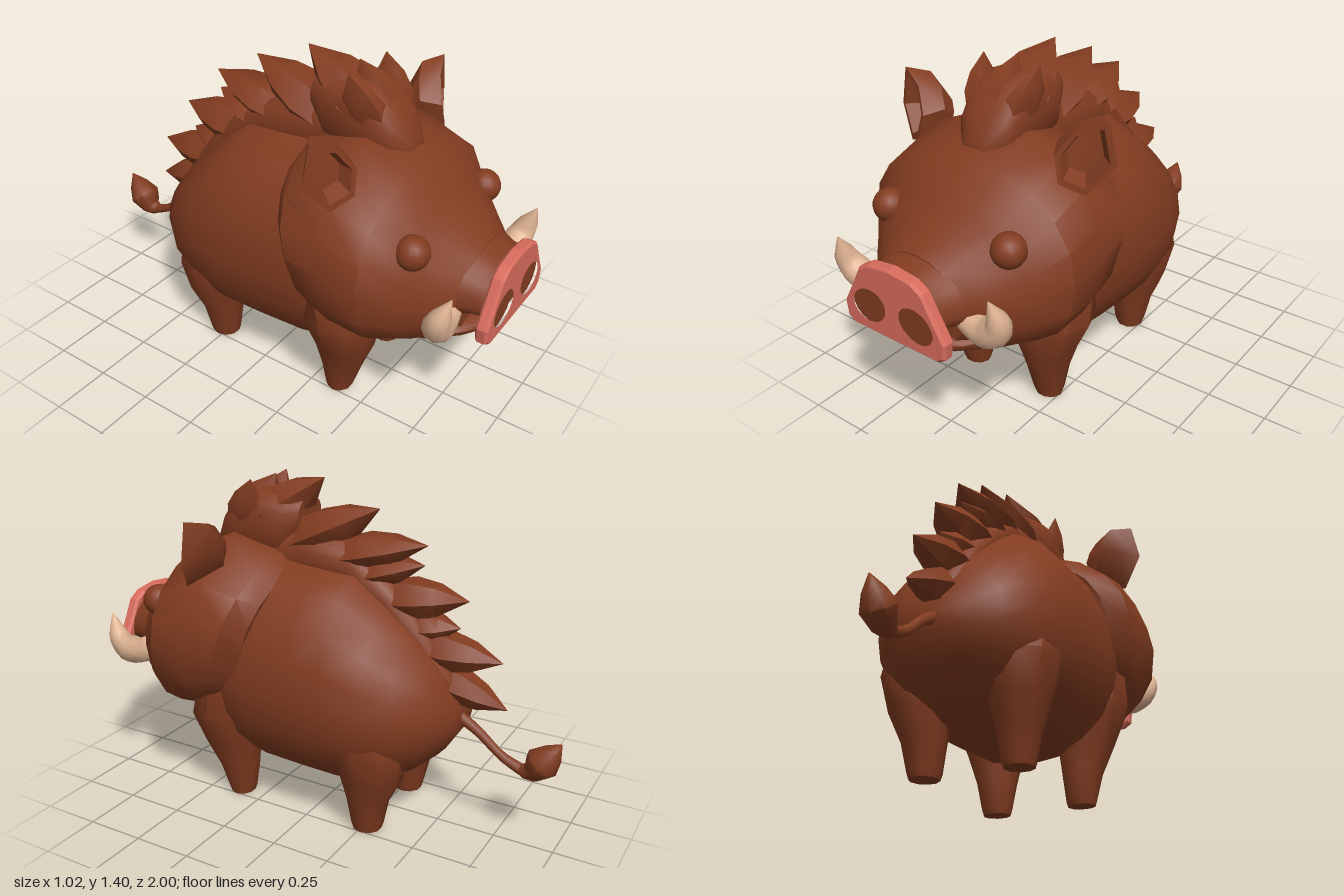
import * as THREE from 'three';
import { toCreasedNormals } from 'three/addons/utils/BufferGeometryUtils.js';

const V = (x, y, z) => new THREE.Vector3(x, y, z);

// Skin a list of point rings, close both ends, and face the surface outwards.
function loft(rings, crease = 0.75) {
  const n = rings[0].length, pos = [], index = [];
  rings.flat().forEach((p) => pos.push(p.x, p.y, p.z));
  for (let r = 0; r < rings.length - 1; r++) {
    for (let i = 0; i < n; i++) {
      const a = r * n + i, b = r * n + (i + 1) % n;
      index.push(a, b, b + n, a, b + n, a + n);
    }
  }
  [0, rings.length - 1].forEach((r, end) => {
    const c = rings[r].reduce((s, p) => s.add(p), V(0, 0, 0)).divideScalar(n);
    const centre = pos.length / 3;
    pos.push(c.x, c.y, c.z);
    for (let i = 0; i < n; i++) {
      const a = r * n + i, b = r * n + (i + 1) % n;
      if (end) index.push(a, b, centre); else index.push(b, a, centre);
    }
  });
  let volume = 0;
  const at = (i) => V(pos[3 * i], pos[3 * i + 1], pos[3 * i + 2]);
  for (let i = 0; i < index.length; i += 3) {
    volume += at(index[i]).dot(at(index[i + 1]).cross(at(index[i + 2])));
  }
  if (volume < 0) index.reverse();
  const g = new THREE.BufferGeometry();
  g.setAttribute('position', new THREE.Float32BufferAttribute(pos, 3));
  g.setIndex(index);
  return toCreasedNormals(g, crease);
}

// Egg-shaped section across z: height of top, bottom and widest point, backward lean,
// and roundness of the lower and upper halves (smaller is squarer).
function section([z, top, bottom, w, mid, lean = 0, low = 0.95, high = 0.95], n = 20) {
  return Array.from({ length: n }, (_, i) => {
    const a = i / n * Math.PI * 2, s = Math.sin(a), c = Math.cos(a), p = s > 0 ? high : low;
    const y = mid + (s > 0 ? top - mid : mid - bottom) * Math.sign(s) * Math.abs(s) ** p;
    return V(w * Math.sign(c) * Math.abs(c) ** p, y, z + lean * (mid - y));
  });
}
const sections = (rows) => loft(rows.map((r) => section(r)));

// Tapered round limb along a smooth path.
function taper(points, radii, steps = 10, n = 10) {
  const curve = new THREE.CatmullRomCurve3(points.map((p) => V(...p)));
  const f = curve.computeFrenetFrames(steps);
  const rings = [];
  for (let s = 0; s <= steps; s++) {
    const u = s / steps, k = u * (radii.length - 1), j = Math.min(Math.floor(k), radii.length - 2);
    const r = THREE.MathUtils.lerp(radii[j], radii[j + 1], k - j), c = curve.getPointAt(u);
    rings.push(Array.from({ length: n }, (_, i) => {
      const a = i / n * Math.PI * 2;
      return c.clone().addScaledVector(f.normals[s], r * Math.cos(a))
        .addScaledVector(f.binormals[s], r * Math.sin(a));
    }));
  }
  return loft(rings, 1);
}

// Pointed bristle tuft with a six-sided section.
function spike(base, tip, w, t) {
  const a = V(...base), b = V(...tip), dir = b.clone().sub(a).normalize();
  const side = V(1, 0, 0).addScaledVector(dir, -dir.x).normalize();
  const up = dir.clone().cross(side);
  return loft([[0, 0.8], [0.4, 1], [0.68, 0.72], [1, 0.01]].map(([u, s]) =>
    Array.from({ length: 6 }, (_, i) => {
      const q = i / 6 * Math.PI * 2;
      return a.clone().lerp(b, u).addScaledVector(side, w * s * Math.cos(q))
        .addScaledVector(up, t * s * Math.sin(q));
    })), 0.9);
}

export function createModel() {
  const group = new THREE.Group();
  const material = (name, color) => {
    const m = new THREE.MeshStandardMaterial({ color });
    m.name = name;
    return m;
  };
  const brown = material('brown hide', 0x823c20);
  const pink = material('pink snout', 0xd86c5d);
  const ivory = material('ivory tusk', 0xe0b493);
  const add = (name, geometry, mat = brown) => {
    const m = new THREE.Mesh(geometry, mat);
    m.name = name;
    group.add(m);
    return m;
  };

  // Trunk, head, muzzle and lower jaw
  add('body', sections([
    [0.55, 0.85, 0.38, 0.2, 0.6], [0.5, 1, 0.3, 0.3, 0.6], [0.38, 1.1, 0.22, 0.39, 0.6],
    [0.2, 1.1, 0.165, 0.41, 0.6], [0, 1.08, 0.16, 0.415, 0.58], [-0.15, 1.07, 0.155, 0.41, 0.57],
    [-0.3, 0.95, 0.19, 0.385, 0.55], [-0.42, 0.84, 0.25, 0.335, 0.54],
    [-0.52, 0.72, 0.34, 0.25, 0.53], [-0.59, 0.58, 0.45, 0.1, 0.51],
  ]));
  add('head', sections([
    [0.21, 1.06, 0.44, 0.4, 0.75, 0.3, 0.8], [0.28, 1.11, 0.43, 0.48, 0.77, 0.3, 0.8],
    [0.42, 1.18, 0.395, 0.49, 0.76, 0.05, 0.78], [0.59, 1.095, 0.38, 0.487, 0.74, 0, 0.8],
    [0.7, 0.965, 0.39, 0.38, 0.67, 0, 0.85], [0.8, 0.875, 0.43, 0.285, 0.64],
    [0.87, 0.825, 0.47, 0.21, 0.63],
  ]));
  add('muzzle', sections([
    [0.78, 0.86, 0.54, 0.26, 0.65], [0.9, 0.805, 0.57, 0.2, 0.65], [0.97, 0.79, 0.57, 0.19, 0.65],
  ]));
  add('lowerJaw', sections([
    [0.75, 0.56, 0.41, 0.28, 0.52], [0.87, 0.55, 0.46, 0.2, 0.52],
    [0.93, 0.55, 0.485, 0.12, 0.52], [0.955, 0.54, 0.51, 0.05, 0.52],
  ]));

  // Snout disc with nostril holes
  const half = [[0.1, 0.802], [0.145, 0.775], [0.19, 0.69], [0.235, 0.61], [0.228, 0.555], [0.2, 0.537]];
  const disc = new THREE.Shape([
    ...half.map(([x, y]) => new THREE.Vector2(x, y)),
    ...half.slice().reverse().map(([x, y]) => new THREE.Vector2(-x, y)),
    new THREE.Vector2(0, 0.815),
  ]);
  for (const s of [-1, 1]) {
    disc.holes.push(new THREE.Path().absellipse(s * 0.112, 0.64, 0.081, 0.066, 0, Math.PI * 2, true, -s * 0.3));
  }
  const discGeometry = new THREE.ExtrudeGeometry(disc, {
    depth: 0.03, bevelThickness: 0.01, bevelSize: 0.01, bevelSegments: 1, curveSegments: 10,
  });
  add('snoutDisc', discGeometry.translate(0, 0, 0.96), pink);

  for (const s of [-1, 1]) {
    const side = s > 0 ? 'left' : 'right';
    // Face details
    add(side + 'Nostril', new THREE.CircleGeometry(1, 20).scale(0.1, 0.084, 1)
      .rotateZ(-s * 0.3).translate(s * 0.112, 0.64, 0.985));
    add(side + 'Eye', new THREE.SphereGeometry(0.067, 16, 12)).position.set(s * 0.287, 0.862, 0.702);
    add(side + 'Tusk', taper([
      [s * 0.18, 0.61, 0.82], [s * 0.29, 0.602, 0.84], [s * 0.365, 0.665, 0.86], [s * 0.362, 0.79, 0.905],
    ], [0.05, 0.056, 0.058, 0.04, 0.002], 12), ivory);

    // Cupped ear opening forwards and outwards: rounded back, rim, inner lip, hollow
    const rim = [[0.31, 1.14, 0.475], [0.37, 1.235, 0.43], [0.48, 1.277, 0.385],
      [0.512, 1.12, 0.382], [0.42, 1.0, 0.435], [0.335, 1.04, 0.485]].map((p) => V(s * p[0], p[1], p[2]));
    const ring = (k, x, y, z) => rim.map((p) => p.clone().lerp(V(s * 0.405, 1.135, 0.432), k).add(V(s * x, y, z)));
    add(side + 'Ear', loft([ring(0.6, -0.1, -0.01, -0.1), ring(0.22, -0.065, 0.015, -0.065), rim,
      ring(0.2, 0, 0, 0), ring(0.4, -0.035, 0, -0.055)], 0.8));

    // Legs: height, centre x, centre z, half width, half depth
    const leg = (rows) => loft(rows.map(([y, x, z, w, d]) => Array.from({ length: 10 }, (_, i) => {
      const a = i / 10 * Math.PI * 2;
      return V(s * x + w * Math.cos(a), y, z + d * Math.sin(a));
    })));
    add(side + 'FrontLeg', leg([[0, 0.195, 0.362, 0.06, 0.052], [0.025, 0.195, 0.362, 0.068, 0.06],
      [0.14, 0.2, 0.372, 0.088, 0.09], [0.27, 0.215, 0.39, 0.125, 0.125],
      [0.42, 0.235, 0.39, 0.175, 0.155], [0.6, 0.24, 0.36, 0.17, 0.13]]));
    add(side + 'BackLeg', leg([[0, 0.195, -0.265, 0.06, 0.062], [0.025, 0.195, -0.265, 0.068, 0.07],
      [0.14, 0.2, -0.268, 0.088, 0.092], [0.25, 0.21, -0.285, 0.12, 0.135],
      [0.4, 0.22, -0.28, 0.15, 0.17], [0.58, 0.22, -0.24, 0.14, 0.15]]));

    // Side points of the forelock
    add(side + 'ForelockPoint', spike([s * 0.075, 1.16, 0.4], [s * 0.132, 1.388, 0.315], 0.052, 0.09));
  }

  // Forelock mass and the ridge under the bristles
  add('forelock', sections([
    [0.545, 1.14, 1.06, 0.05, 1.1], [0.48, 1.24, 1.04, 0.115, 1.14, 0, 0.95, 0.75],
    [0.4, 1.325, 1.02, 0.138, 1.18, 0, 0.95, 0.65], [0.31, 1.35, 1.02, 0.138, 1.2, 0, 0.95, 0.65],
    [0.2, 1.34, 1.04, 0.135, 1.2, 0, 0.95, 0.8], [0.12, 1.32, 1.16, 0.09, 1.24],
  ]));
  add('maneRidge', sections([
    [0.25, 1.24, 1, 0.12, 1.08], [0.08, 1.22, 1, 0.125, 1.08], [-0.12, 1.17, 0.96, 0.12, 1.06],
    [-0.28, 1.04, 0.85, 0.11, 0.95], [-0.42, 0.89, 0.74, 0.1, 0.82], [-0.54, 0.72, 0.6, 0.08, 0.67],
    [-0.59, 0.64, 0.57, 0.04, 0.6],
  ]));

  // Bristle tufts along the spine: base z, y; tip z, y; half width, half thickness
  [
    [0.42, 1.18, 0.28, 1.395, 0.075, 0.09], [0.42, 1.14, 0.05, 1.4, 0.138, 0.115],
    [0.22, 1.1, -0.2, 1.3, 0.132, 0.1], [0.02, 1.08, -0.41, 1.18, 0.125, 0.085],
    [-0.1, 1.02, -0.4, 1.1, 0.115, 0.07], [-0.2, 0.94, -0.59, 0.985, 0.11, 0.09],
    [-0.32, 0.84, -0.56, 0.87, 0.09, 0.07], [-0.36, 0.77, -0.74, 0.76, 0.095, 0.085],
    [-0.44, 0.67, -0.77, 0.57, 0.08, 0.075],
  ].forEach(([z, y, tz, ty, w, t], i) => add('maneTuft' + (i + 1), spike([0, y, z], [0, ty, tz], w, t)));

  // Tail with a leaf-shaped tuft
  add('tail', taper([[0, 0.51, -0.56], [0, 0.45, -0.66], [0, 0.37, -0.76], [0, 0.33, -0.85]],
    [0.026, 0.02, 0.018, 0.024], 8, 8));
  add('tailTuft', taper([[0, 0.335, -0.83], [0, 0.335, -0.88], [0, 0.39, -0.93], [0, 0.48, -0.995]],
    [0.018, 0.048, 0.07, 0.045, 0.002], 8, 8));
  return group;
}
